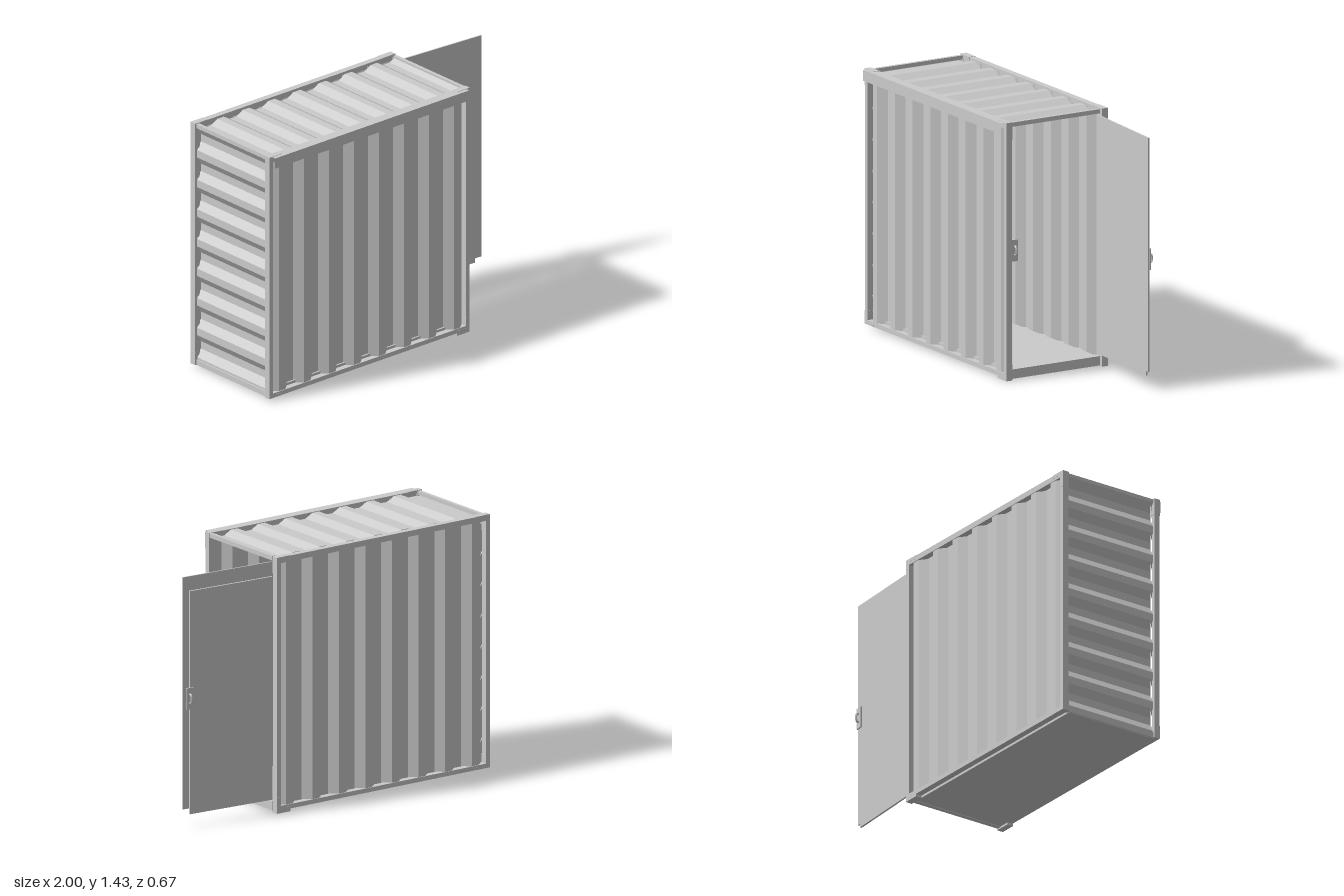
import * as THREE from 'three';

const grey = new THREE.MeshStandardMaterial({ color: 0xcccccc, flatShading: true });
const sheetGrey = new THREE.MeshStandardMaterial({ color: 0xcccccc, flatShading: true, side: THREE.DoubleSide });

// Box given by its limits on each axis
function box(parent, name, [x0, x1], [y0, y1], [z0, z1]) {
  const mesh = new THREE.Mesh(new THREE.BoxGeometry(x1 - x0, y1 - y0, z1 - z0), grey);
  mesh.position.set((x0 + x1) / 2, (y0 + y1) / 2, (z0 + z1) / 2);
  mesh.name = name;
  parent.add(mesh);
  return mesh;
}

// Trapezoid corrugated sheet: u runs across the ribs, v along them, w is the rib height.
// rise is the centre of one climbing slope; place() turns (u, v, w) into a position.
function corrugated(parent, name, { u, v, w, period, rise, place }) {
  const profile = [];
  const step = period / 4;
  const first = Math.ceil((u[0] - rise) / step - 0.5);
  const level = k => (((k % 4) + 4) % 4 < 2 ? w[1] : w[0]);
  let k = first;
  profile.push([u[0], level(k)]);
  for (; rise + step * (k + 0.5) < u[1]; k++) profile.push([rise + step * (k + 0.5), level(k)]);
  profile.push([u[1], level(k - 1)]);

  const n = profile.length;
  const geometry = new THREE.PlaneGeometry(1, 1, n - 1, 1);
  const pos = geometry.attributes.position;
  for (let i = 0; i < pos.count; i++) {
    const [a, h] = profile[i % n];
    pos.setXYZ(i, ...place(a, i < n ? v[1] : v[0], h));
  }
  geometry.computeVertexNormals();
  const mesh = new THREE.Mesh(geometry, sheetGrey);
  mesh.name = name;
  parent.add(mesh);
}

// Lock plate with a grip standing off it, built facing +z around its centre
function lock(parent, name, width) {
  const g = new THREE.Group();
  g.name = name;
  box(g, 'lockPlate', [-width / 2, width / 2], [-0.06, 0.06], [-0.004, 0.004]);
  const curve = new THREE.CatmullRomCurve3([[-0.025, 0.004], [-0.02, 0.016], [0.02, 0.016], [0.025, 0.004]]
    .map(([y, z]) => new THREE.Vector3(0, y, z)));
  const grip = new THREE.Mesh(new THREE.TubeGeometry(curve, 10, 0.006, 6), grey);
  grip.name = 'grip';
  g.add(grip);
  parent.add(g);
  return g;
}

export function createModel() {
  const model = new THREE.Group();
  model.name = 'container';

  // Corrugated skin
  corrugated(model, 'frontWall', {
    u: [-0.98, 0.425], v: [0.025, 1.42], w: [0.266, 0.306], period: 0.179, rise: -0.77,
    place: (u, v, w) => [u, v, w],
  });
  corrugated(model, 'backWall', {
    u: [-0.98, 0.425], v: [0.025, 1.42], w: [-0.293, -0.331], period: 0.179, rise: -0.77,
    place: (u, v, w) => [u, v, w],
  });
  corrugated(model, 'roof', {
    u: [-0.985, 0.428], v: [-0.3, 0.28], w: [1.403, 1.428], period: 0.183, rise: -0.88,
    place: (u, v, w) => [u, w, -v],
  });
  corrugated(model, 'endWall', {
    u: [0.02, 1.42], v: [-0.3, 0.28], w: [-0.957, -0.985], period: 0.174, rise: 1.21,
    place: (u, v, w) => [w, u, v],
  });

  // Side frames: rails, posts and corner blocks
  for (const [side, z] of [['front', [0.275, 0.31]], ['back', [-0.335, -0.298]]]) {
    box(model, side + 'TopRail', [-1, 0.432], [1.4, 1.432], z);
    box(model, side + 'BottomRail', [-1, 0.432], [0.015, 0.04], z);
    for (const [end, post, block] of [['End', [-1, -0.976], [-1, -0.91]], ['Door', [0.408, 0.432], [0.342, 0.432]]]) {
      box(model, side + end + 'Post', post, [0.015, 1.432], z);
      const wide = [z[0] - 0.001, z[1] + 0.001];
      const low = end === 'Door' ? 0 : 0.015;
      box(model, side + end + 'TopCorner', block, [1.415, 1.434], wide);
      box(model, side + end + 'BottomCorner', block, [low, 0.028], wide);
      // Sleeves round the post ends
      for (const y of [[1.34, 1.434], [low, 0.09]]) {
        box(model, side + end + 'PostSleeve', [post[0] - 0.001, post[1] + 0.002], y, wide);
      }
    }
  }

  // Floor with sills, and the header over the doorway
  box(model, 'floor', [-0.985, 0.42], [0.012, 0.055], [-0.285, 0.275]);
  box(model, 'doorSill', [0.405, 0.43], [0.008, 0.06], [-0.286, 0.275]);
  box(model, 'doorHeader', [0.41, 0.43], [1.408, 1.432], [-0.286, 0.275]);
  box(model, 'endHeader', [-0.992, -0.972], [1.408, 1.43], [-0.298, 0.275]);
  box(model, 'endSill', [-0.992, -0.972], [0.015, 0.045], [-0.298, 0.275]);

  // Folded fascia strip along the top of the front
  const strips = [[0.06, 1.402, 0.334, 0], [0.03, 1.432, 0.319, -Math.PI / 2]];
  for (const [depth, y, z, tilt] of strips) {
    const strip = new THREE.Mesh(new THREE.PlaneGeometry(1.39, depth), sheetGrey);
    strip.position.set(-0.285, y, z);
    strip.rotation.x = tilt;
    strip.name = 'fascia';
    model.add(strip);
  }

  // Catch on the doorway post
  const latch = lock(model, 'postCatch', 0.036);
  latch.rotation.y = Math.PI / 2;
  latch.position.set(0.43, 0.72, 0.257);

  // Open door: a leaf with an offset slab behind it
  const door = new THREE.Group();
  door.name = 'door';
  box(door, 'doorLeaf', [0, 0.57], [0.1, 1.4], [-0.008, 0]);
  box(door, 'doorSlab', [0, 0.53], [0.07, 1.32], [-0.019, -0.008]);
  const doorLock = lock(door, 'doorLock', 0.045);
  doorLock.rotation.y = Math.PI;
  doorLock.position.set(0.535, 0.72, -0.022);
  door.position.set(0.43, 0, -0.275);
  door.rotation.y = -0.07;
  model.add(door);

  return model;
}
